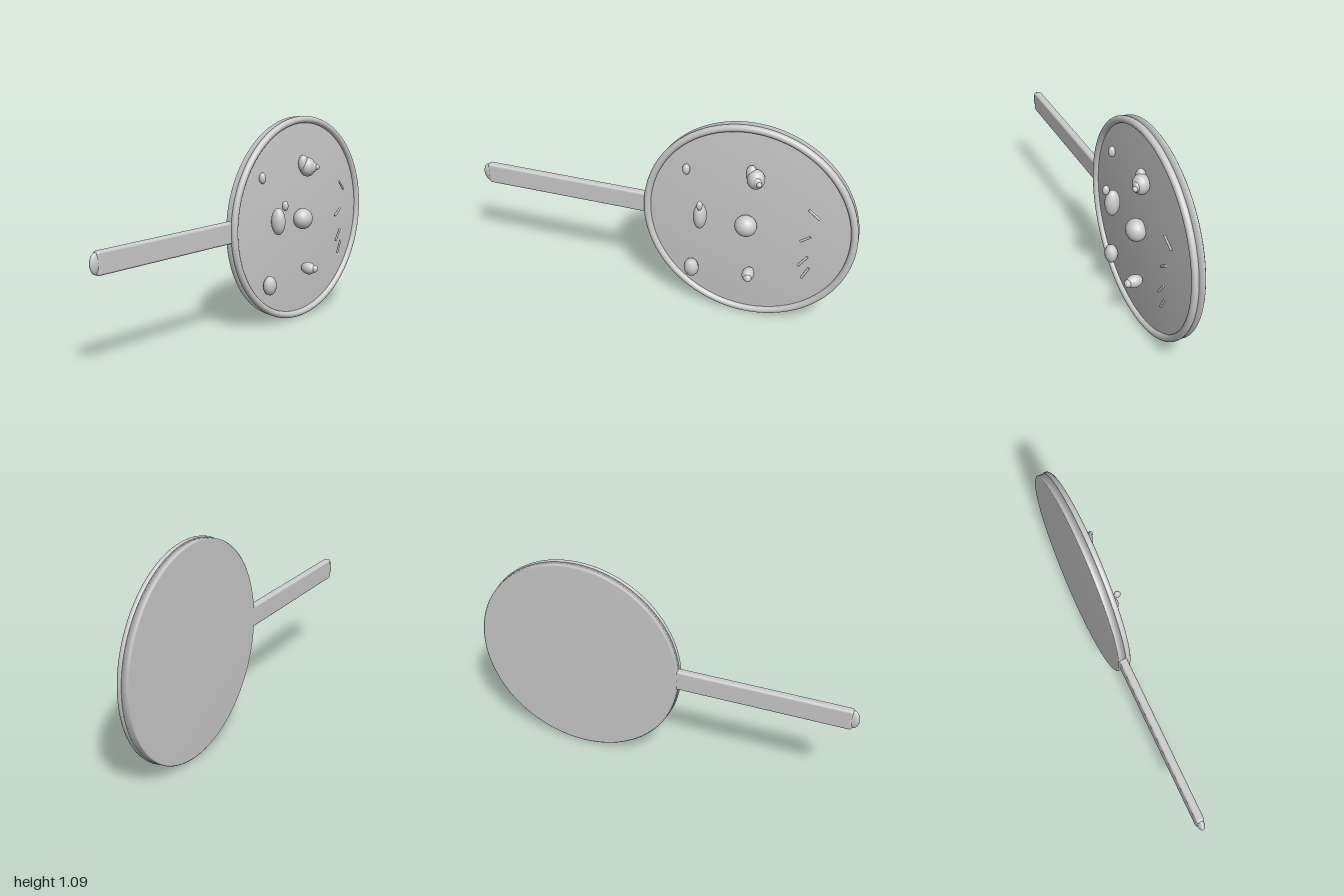
import * as THREE from 'three';
import { RoundedBoxGeometry } from 'three/addons/geometries/RoundedBoxGeometry.js';

export function createModel() {
  const model = new THREE.Group();
  const grey = new THREE.MeshStandardMaterial({ color: 0xcccccc });
  grey.name = 'light grey';
  const CY = 0.55, CZ = -0.455;

  function add(parent, name, geometry, x, y, z) {
    const mesh = new THREE.Mesh(geometry, grey);
    mesh.name = name;
    mesh.position.set(x, y, z);
    parent.add(mesh);
    return mesh;
  }

  function group(name) {
    const g = new THREE.Group();
    g.name = name;
    model.add(g);
    return g;
  }

  // Ellipsoid given by centre and radii
  function blob(parent, name, [x, y, z], [rx, ry, rz]) {
    const geometry = new THREE.SphereGeometry(1, 28, 20);
    geometry.scale(rx, ry, rz);
    return add(parent, name, geometry, x, y, z);
  }

  // Round plate, axis along x, softly shaded over its edges
  const profile = [[0, -0.076], [0.534, -0.076], [0.541, -0.071], [0.541, -0.03], [0, -0.03]]
    .map(([r, h]) => new THREE.Vector2(r, h));
  const plate = new THREE.LatheGeometry(profile, 96);
  plate.rotateZ(-Math.PI / 2);
  add(model, 'plate', plate, 0, CY, CZ);

  // Raised rim
  const rim = new THREE.TorusGeometry(0.527, 0.018, 16, 96);
  rim.rotateY(Math.PI / 2);
  add(model, 'rim', rim, -0.028, CY, CZ);

  // Handle with rounded tip
  add(model, 'handle', new RoundedBoxGeometry(0.04, 0.112, 0.92, 3, 0.012), -0.053, CY, 0.508);
  blob(model, 'handleTip', [-0.053, CY, 0.965], [0.018, 0.052, 0.035]);

  // Large ball in the middle
  blob(model, 'centreBall', [0, CY, -0.45], [0.05, 0.056, 0.056]);

  // Tall oval with a small bead, and a bead near the rim
  const ovals = group('ovals');
  blob(ovals, 'tallOval', [0.017, 0.57, -0.22], [0.039, 0.071, 0.034]);
  blob(ovals, 'smallBead', [0.055, 0.656, -0.228], [0.018, 0.026, 0.015]);
  blob(ovals, 'rimBead', [-0.018, 0.803, -0.134], [0.018, 0.029, 0.019]);

  // Upper cluster
  const upper = group('upperCluster');
  blob(upper, 'clusterOval', [-0.012, 0.845, -0.463], [0.026, 0.046, 0.028]);
  blob(upper, 'clusterBall', [-0.002, 0.825, -0.488], [0.042, 0.051, 0.044]);
  blob(upper, 'clusterKnob', [0.028, 0.825, -0.502], [0.016, 0.027, 0.022]);
  blob(upper, 'clusterTip', [0.041, 0.824, -0.515], [0.012, 0.014, 0.014]);

  // Lower peg
  const lower = group('lowerPeg');
  blob(lower, 'pegBody', [0.018, 0.275, -0.48], [0.044, 0.033, 0.031]);
  blob(lower, 'pegTip', [0.055, 0.276, -0.487], [0.017, 0.02, 0.02]);

  // Faceted pebble
  const pebble = new THREE.IcosahedronGeometry(1, 1);
  pebble.scale(0.034, 0.053, 0.04);
  add(model, 'pebble', pebble, 0, 0.234, -0.175);

  // Four small rods along the far side, from end to end
  const rods = group('rods');
  const ends = [
    [[0.012, 0.717, -0.757], [0.003, 0.667, -0.81]],
    [[0.008, 0.527, -0.727], [0.008, 0.562, -0.776]],
    [[0.017, 0.388, -0.727], [0.013, 0.447, -0.771]],
    [[0.013, 0.314, -0.748], [0.01, 0.381, -0.782]],
  ];
  ends.forEach(([p, q]) => {
    const a = new THREE.Vector3(...p), b = new THREE.Vector3(...q);
    const rod = add(rods, 'rod', new THREE.CylinderGeometry(0.007, 0.007, a.distanceTo(b), 8), 0, 0, 0);
    rod.position.copy(a).lerp(b, 0.5);
    rod.quaternion.setFromUnitVectors(new THREE.Vector3(0, 1, 0), b.clone().sub(a).normalize());
    rod.scale.set(0.7, 1, 1);
  });

  return model;
}
